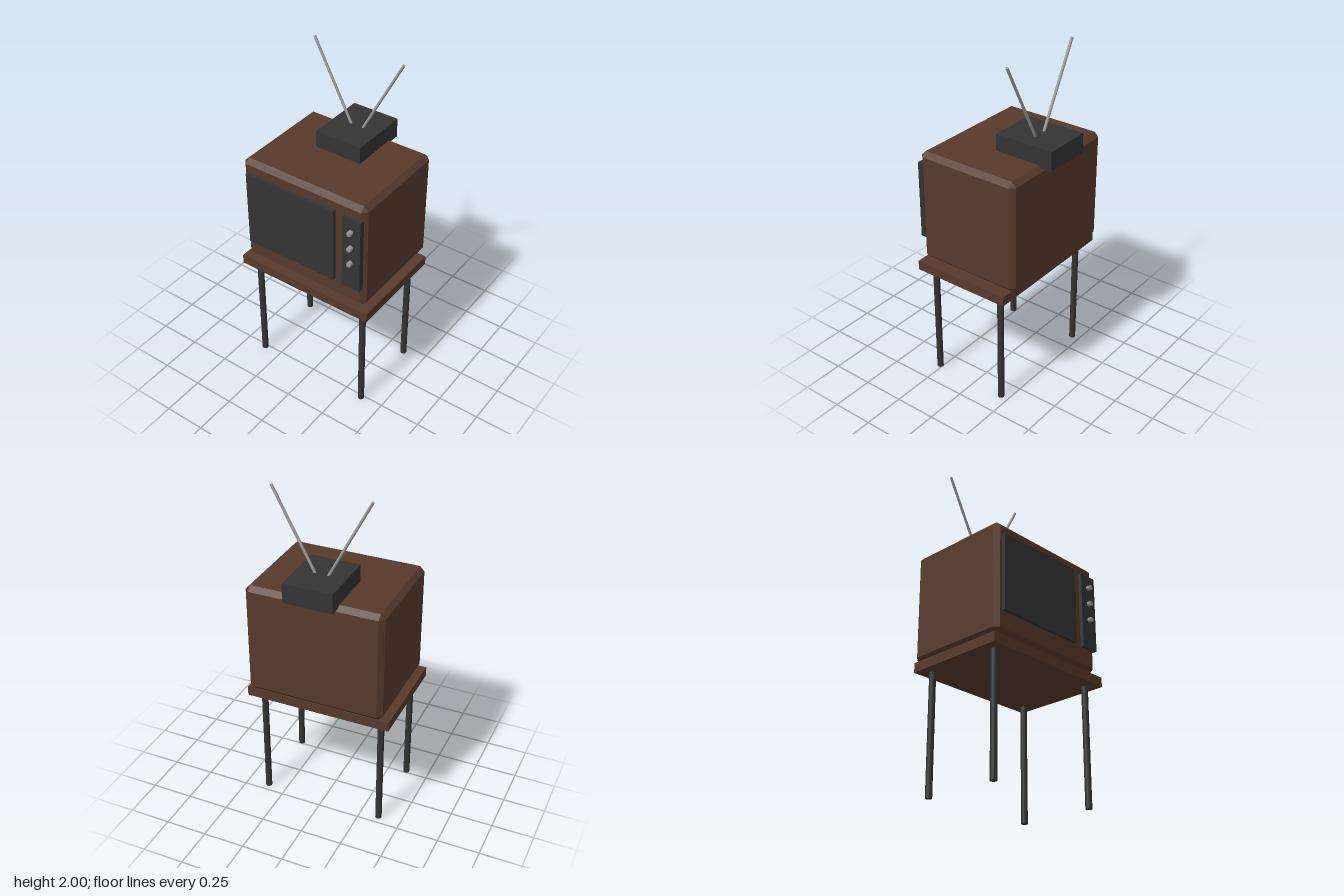
import * as THREE from 'three';
import { ConvexGeometry } from 'three/addons/geometries/ConvexGeometry.js';

const flat = (name, color) => {
  const m = new THREE.MeshStandardMaterial({ color });
  m.name = name;
  return m;
};

// Box with every edge and corner cut off at 45 degrees
function chamferedBox(w, h, d, c) {
  const pts = [];
  for (const sx of [-1, 1]) for (const sy of [-1, 1]) for (const sz of [-1, 1]) {
    const x = w / 2, y = h / 2, z = d / 2;
    pts.push(
      new THREE.Vector3(sx * x, sy * (y - c), sz * (z - c)),
      new THREE.Vector3(sx * (x - c), sy * y, sz * (z - c)),
      new THREE.Vector3(sx * (x - c), sy * (y - c), sz * z));
  }
  return new ConvexGeometry(pts);
}

export function createModel() {
  const wood = flat('brown wood', 0x573a2c);
  const dark = flat('charcoal', 0x343434);
  const metal = flat('grey metal', 0x9a9a9a);

  const model = new THREE.Group();
  model.name = 'televisionOnStand';

  const add = (name, geometry, material, x, y, z) => {
    const mesh = new THREE.Mesh(geometry, material);
    mesh.name = name;
    mesh.position.set(x, y, z);
    model.add(mesh);
    return mesh;
  };
  // Box given by its limits on each axis
  const addBox = (name, material, [x0, x1], [y0, y1], [z0, z1]) =>
    add(name, new THREE.BoxGeometry(x1 - x0, y1 - y0, z1 - z0), material,
      (x0 + x1) / 2, (y0 + y1) / 2, (z0 + z1) / 2);

  // Stand: top board and four round legs
  addBox('standTop', wood, [-0.434, 0.434], [0.7, 0.757], [-0.273, 0.335]);
  const legGeometry = new THREE.CylinderGeometry(0.019, 0.019, 0.71, 16);
  for (const x of [-0.364, 0.364]) for (const z of [-0.2, 0.266]) {
    add('standLeg', legGeometry, dark, x, 0.355, z);
  }

  // Cabinet
  add('cabinet', chamferedBox(0.81, 0.665, 0.635, 0.028), wood, 0, 1.1075, 0.0025);

  // Screen and control panel
  addBox('screen', dark, [-0.364, 0.217], [0.902, 1.363], [0.31, 0.342]);
  addBox('controlPanel', dark, [0.275, 0.39], [0.902, 1.363], [0.31, 0.342]);

  // Knobs
  const knobGeometry = new THREE.CylinderGeometry(0.0145, 0.0145, 0.035, 12);
  knobGeometry.rotateX(Math.PI / 2);
  for (const y of [1.079, 1.181, 1.283]) {
    add('knob', knobGeometry, metal, 0.332, y, 0.348);
  }

  // Aerial: base box and two splayed rods
  addBox('aerialBase', dark, [-0.145, 0.145], [1.425, 1.54], [-0.367, -0.004]);
  for (const s of [-1, 1]) {
    const from = new THREE.Vector3(s * 0.03, 1.52, -0.185);
    const to = new THREE.Vector3(s * 0.282, 1.996, -0.185);
    const dir = to.clone().sub(from);
    const rod = add('aerialRod', new THREE.CylinderGeometry(0.008, 0.008, dir.length(), 12), metal, 0, 0, 0);
    rod.position.copy(from).add(to).multiplyScalar(0.5);
    rod.quaternion.setFromUnitVectors(new THREE.Vector3(0, 1, 0), dir.normalize());
  }

  return model;
}
